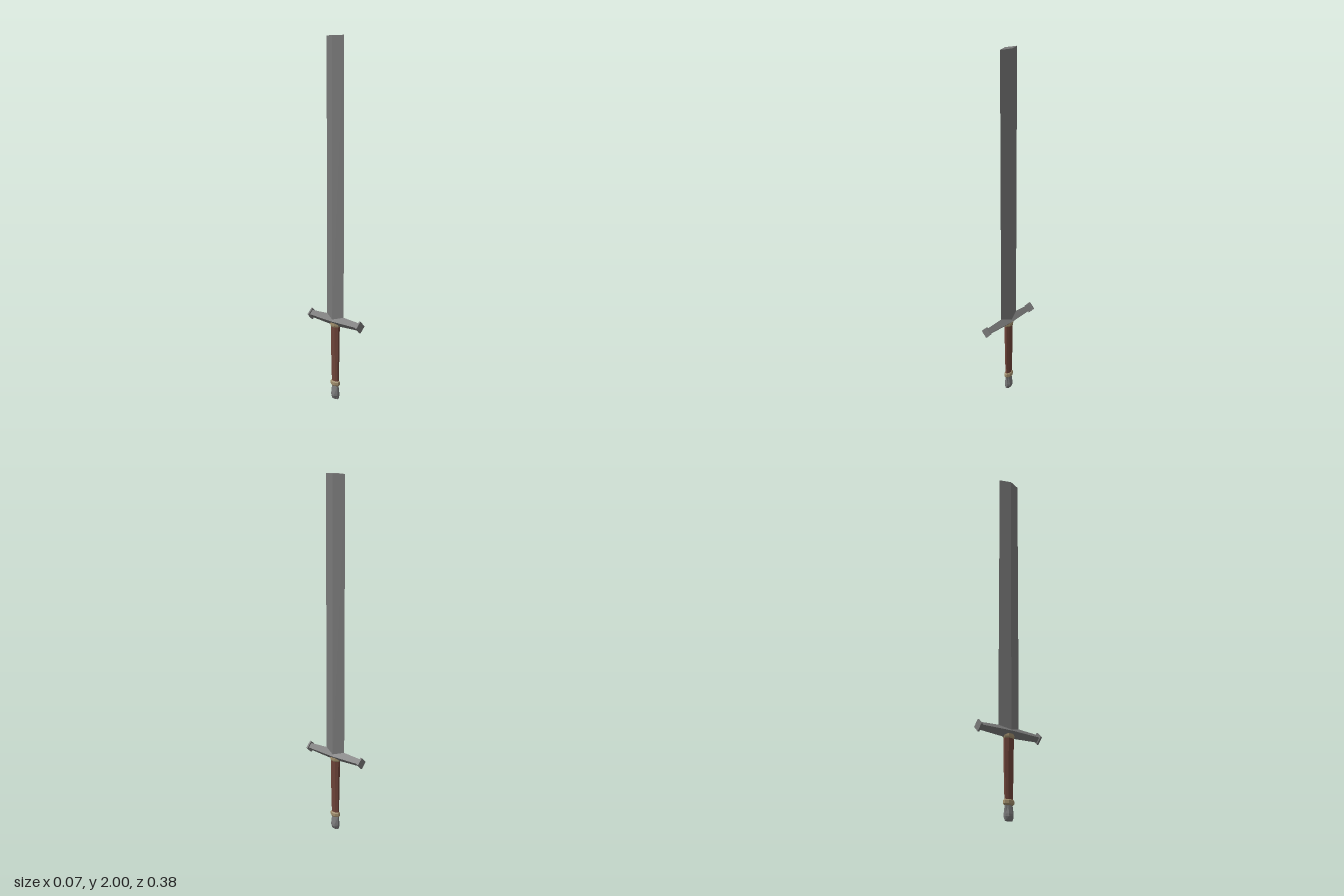
import * as THREE from 'three';

// Faceted loft along y; each section is [y, half width x, half depth z]
function loft(sections, sides, phase = 0) {
  const pos = [];
  const point = ([y, rx, rz], i) => {
    const a = phase + (i / sides) * Math.PI * 2;
    return [rx * Math.sin(a), y, rz * Math.cos(a)];
  };
  const first = sections[0], last = sections[sections.length - 1];
  for (let i = 0; i < sides; i++) {
    for (let s = 0; s < sections.length - 1; s++) {
      const a = point(sections[s], i), b = point(sections[s], i + 1);
      const c = point(sections[s + 1], i + 1), d = point(sections[s + 1], i);
      pos.push(...a, ...b, ...c, ...a, ...c, ...d);
    }
    pos.push(0, last[0], 0, ...point(last, i), ...point(last, i + 1));
    pos.push(0, first[0], 0, ...point(first, i + 1), ...point(first, i));
  }
  const g = new THREE.BufferGeometry();
  g.setAttribute('position', new THREE.Float32BufferAttribute(pos, 3));
  g.computeVertexNormals();
  return g;
}

// Eight-sided loft with flats facing the axes
function octagon(sections) {
  const k = 1 / Math.cos(Math.PI / 8);
  return loft(sections.map(([y, x, z]) => [y, x * k, z * k]), 8, Math.PI / 8);
}

export function createModel() {
  const material = (name, color) => {
    const m = new THREE.MeshStandardMaterial({ color });
    m.name = name;
    return m;
  };
  const steel = material('steel', 0x787878);
  const leather = material('brown leather', 0x6e4439);
  const brass = material('pale brass', 0xa08e6c);

  const group = new THREE.Group();
  group.name = 'sword';
  const add = (name, geometry, mat) => {
    const mesh = new THREE.Mesh(geometry, mat);
    mesh.name = name;
    group.add(mesh);
    return mesh;
  };

  // Diamond-section blade with a flat end
  add('blade', loft([[0.45, 0.024, 0.065], [2, 0.024, 0.065]], 4), steel);

  // Crossguard tapering towards both ends, lofted along z
  const guardY = 0.457;
  const guard = loft([[-0.185, 0.022, 0.021], [0, 0.033, 0.032], [0.185, 0.022, 0.021]], 4);
  guard.rotateX(Math.PI / 2).translate(0, guardY, 0);
  add('crossguard', guard, steel);
  for (const side of [-1, 1]) {
    const cap = loft([[-0.005, 0.033, 0.033], [0.005, 0.033, 0.033]], 4);
    cap.rotateX(Math.PI / 2).translate(0, guardY, side * 0.187);
    add(side > 0 ? 'guardCapFront' : 'guardCapBack', cap, steel);
  }

  // Grip with a collar at each end
  add('grip', octagon([[0.09, 0.012, 0.022], [0.25, 0.015, 0.026], [0.43, 0.018, 0.028]]), leather);
  add('upperCollar', octagon([[0.422, 0.019, 0.028], [0.43, 0.022, 0.031], [0.445, 0.022, 0.031]]), brass);
  add('lowerCollar', octagon([
    [0.078, 0.015, 0.024], [0.084, 0.019, 0.029], [0.1, 0.019, 0.029], [0.106, 0.015, 0.025],
  ]), brass);

  // Flared pommel
  add('pommel', octagon([
    [0.005, 0.010, 0.021], [0.026, 0.020, 0.025], [0.038, 0.019, 0.025], [0.082, 0.009, 0.022],
  ]).translate(0, -0.005, 0), steel);

  return group;
}
